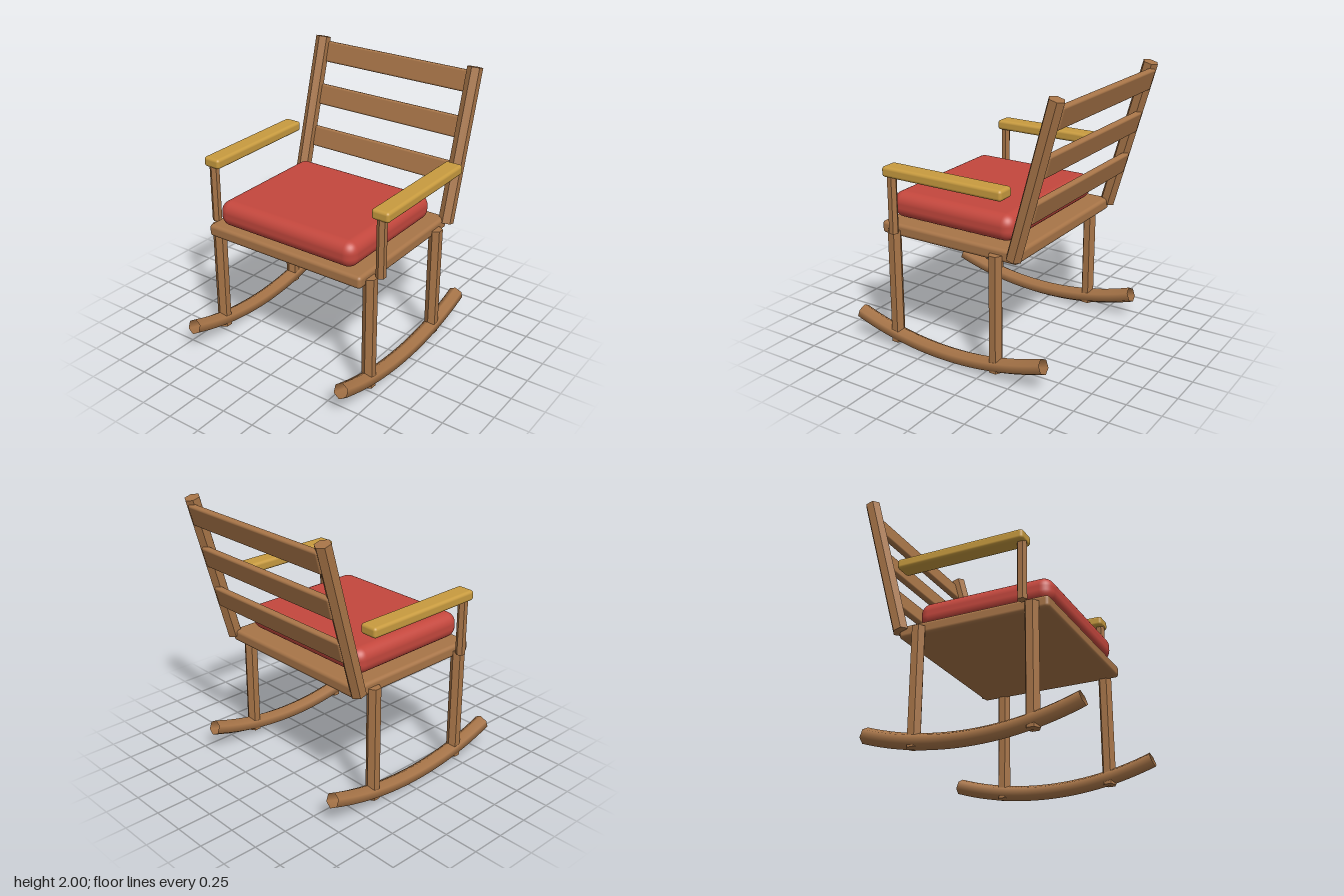
import * as THREE from 'three';
import { RoundedBoxGeometry } from 'three/addons/geometries/RoundedBoxGeometry.js';

export function createModel() {
  const model = new THREE.Group();
  model.name = 'rockingChair';

  const material = (name, color, side = THREE.FrontSide) => {
    const m = new THREE.MeshStandardMaterial({ color, side });
    m.name = name;
    return m;
  };
  // double sided because the rockers are open tubes
  const wood = material('brown wood', 0xa87548, THREE.DoubleSide);
  const armWood = material('golden wood', 0xc89b3f);
  const fabric = material('red fabric', 0xc4473d);

  const add = (name, geometry, mat, x, y, z, parent = model) => {
    const mesh = new THREE.Mesh(geometry, mat);
    mesh.name = name;
    mesh.position.set(x, y, z);
    parent.add(mesh);
    return mesh;
  };
  const roundedBox = (w, h, d, r, steps = 3) => new RoundedBoxGeometry(w, h, d, steps, r);

  // six-sided bar with flat faces
  const hexBar = (radius, length) => {
    const g = new THREE.CylinderGeometry(radius, radius, length, 6).toNonIndexed();
    g.computeVertexNormals();
    return g;
  };

  // open six-sided tube bent along a circular arc
  const rockerGeometry = () => {
    const R = 2.312, half = 0.339;
    const g = new THREE.CylinderGeometry(0.057, 0.057, 2 * half * R, 6, 32, true);
    g.rotateX(Math.PI / 2);
    const p = g.attributes.position, n = g.attributes.normal;
    for (let i = 0; i < p.count; i++) {
      const a = p.getZ(i) / R, r = R - p.getY(i), ny = n.getY(i);
      p.setXYZ(i, p.getX(i), R - r * Math.cos(a), r * Math.sin(a));
      n.setXYZ(i, n.getX(i), ny * Math.cos(a), -ny * Math.sin(a));
    }
    return g;
  };

  // seat and cushion
  add('seat', roundedBox(1.3, 0.09, 1.11, 0.025), wood, 0, 0.895, 0.05);
  add('cushion', roundedBox(1.15, 0.19, 0.995, 0.08, 5), fabric, 0, 1.04, 0.09);

  // backrest, leaning backwards
  const back = new THREE.Group();
  back.name = 'backrest';
  back.position.set(0, 1.442, -0.634);
  back.rotation.x = -0.267;
  model.add(back);
  for (const y of [-0.205, 0.125, 0.455]) {
    add('backSlat', roundedBox(1.3, 0.157, 0.047, 0.015), wood, 0, y, -0.036, back);
  }

  // mirrored parts
  for (const s of [1, -1]) {
    const side = s > 0 ? 'left' : 'right';
    add(side + 'BackPost', hexBar(0.056, 1.13), wood, s * 0.655, 0, 0, back);
    add(side + 'FrontLeg', hexBar(0.05, 0.855), wood, s * 0.655, 0.4725, 0.49);
    add(side + 'BackLeg', hexBar(0.05, 0.855), wood, s * 0.655, 0.4725, -0.345);
    add(side + 'Rocker', rockerGeometry(), wood, s * 0.655, 0.058, 0.05);
    add(side + 'ArmSupport', hexBar(0.035, 0.44), wood, s * 0.71, 1.12, 0.45);
    add(side + 'Armrest', roundedBox(0.135, 0.075, 0.95, 0.022), armWood, s * 0.71, 1.353, 0.01);
  }
  return model;
}
